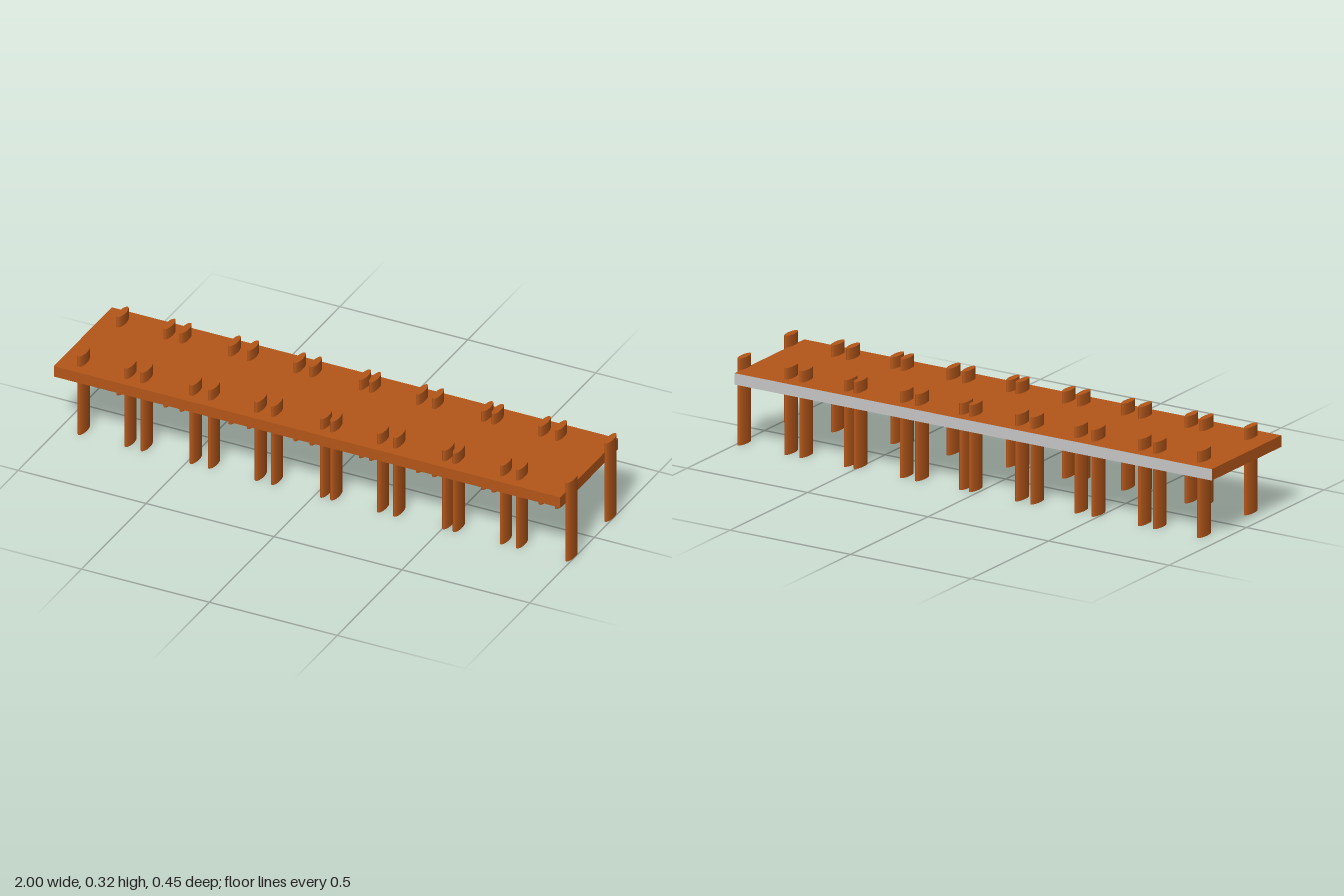
import * as THREE from 'three';

export function createModel() {
  const model = new THREE.Group();
  model.name = 'pier';
  const wood = new THREE.MeshStandardMaterial({ name: 'brown wood', color: 0xb35619 });
  const grey = new THREE.MeshStandardMaterial({ name: 'grey edge', color: 0xc6c6c6 });

  // Deck slab: only its back edge is grey (box sides: +x, -x, +y, -y, +z, -z)
  const deck = new THREE.Mesh(
    new THREE.BoxGeometry(1.98, 0.042, 0.449),
    [wood, wood, wood, wood, wood, grey]
  );
  deck.name = 'deck';
  deck.position.set(-0.01, 0.2555, 0);
  model.add(deck);

  // Oval posts passing through the deck, in two rows
  const postGeometry = new THREE.CylinderGeometry(1, 1, 0.319, 32);
  postGeometry.scale(0.013, 1, 0.0395);
  postGeometry.translate(0, 0.1595, 0);
  const postX = [
    -0.92, -0.737, -0.674, -0.482, -0.411, -0.228, -0.165, 0.027,
    0.067, 0.25, 0.313, 0.505, 0.546, 0.73, 0.793, 0.987,
  ];
  for (const x of postX) {
    for (const side of [-1, 1]) {
      const post = new THREE.Mesh(postGeometry, wood);
      post.name = side > 0 ? 'frontPost' : 'backPost';
      post.position.set(x, 0, side * 0.1505);
      model.add(post);
    }
  }
  return model;
}
